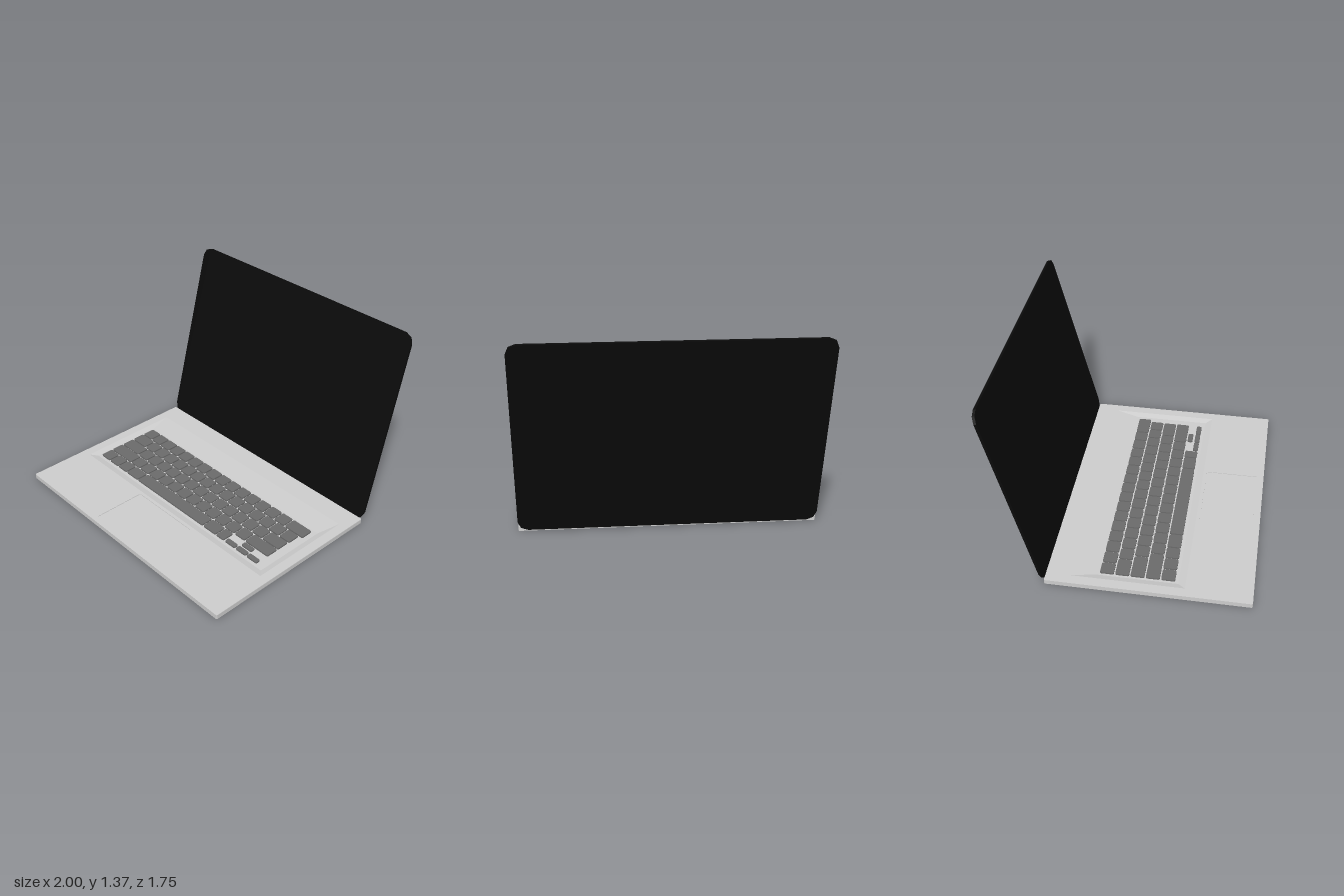
import * as THREE from 'three';

const grey = new THREE.MeshStandardMaterial({ color: 0xcccccc });
const keyGrey = new THREE.MeshStandardMaterial({ color: 0x6a6a6a });
const black = new THREE.MeshStandardMaterial({ color: 0x0a0a0a });

// Rounded rectangle spanning x0..x1, y0..y1
function roundedRect(x0, x1, y0, y1, r, Type = THREE.Shape) {
  const s = new Type();
  s.absarc(x1 - r, y0 + r, r, -Math.PI / 2, 0);
  s.absarc(x1 - r, y1 - r, r, 0, Math.PI / 2);
  s.absarc(x0 + r, y1 - r, r, Math.PI / 2, Math.PI);
  s.absarc(x0 + r, y0 + r, r, Math.PI, Math.PI * 1.5);
  s.closePath();
  return s;
}

// Horizontal slab over x0..x1, z0..z1 from height y0 to y1
function slab(name, material, [x0, x1, z0, z1], y0, y1, r, holes = []) {
  const shape = roundedRect(x0, x1, -z1, -z0, r);
  for (const [a, b, c, d] of holes) shape.holes.push(roundedRect(a, b, -d, -c, 0.002, THREE.Path));
  const geo = new THREE.ExtrudeGeometry(shape, { depth: y1 - y0, bevelEnabled: false, curveSegments: 1 });
  geo.rotateX(-Math.PI / 2).translate(0, y0, 0);
  const mesh = new THREE.Mesh(geo, material);
  mesh.name = name;
  return mesh;
}

// Shallow dish: sloping sides from an outer rectangle down to a flat floor
function dish(outer, inner, yTop, yFloor) {
  const corners = ([x0, x1, z0, z1], y) => [[x0, y, z0], [x0, y, z1], [x1, y, z1], [x1, y, z0]];
  const o = corners(outer, yTop), f = corners(inner, yFloor), pos = [];
  const quad = (a, b, c, d) => pos.push(...a, ...b, ...c, ...a, ...c, ...d);
  for (let i = 0; i < 4; i++) {
    const j = (i + 1) % 4;
    quad(o[i], o[j], f[j], f[i]);
  }
  quad(...f);
  const geo = new THREE.BufferGeometry();
  geo.setAttribute('position', new THREE.Float32BufferAttribute(pos, 3));
  geo.computeVertexNormals();
  const mesh = new THREE.Mesh(geo, grey);
  mesh.name = 'keyboardWell';
  return mesh;
}

function createKeyboard() {
  const keyboard = new THREE.Group();
  keyboard.name = 'keyboard';
  const left = -0.869, back = -0.163, pitch = 0.1035, gap = 0.011;
  const ones = (n) => Array(n).fill(1);
  // Key widths per row, in key pitches
  const rows = [
    [...ones(15), 1.71],
    [1.45, ...ones(15)],
    [1.87, ...ones(13), 1.55],
    [2.27, ...ones(12), 2.16],
    [1, 1, 1, 1.27, 6.98, 1.28, 0.8],
  ];
  const addKey = (name, x0, x1, z0, z1) =>
    keyboard.add(slab(name, keyGrey, [x0, x1, z0, z1], 0.018, 0.031, 0.01));
  rows.forEach((widths, row) => {
    let x = left;
    const z = back + row * 0.104;
    for (const w of widths) {
      addKey(w > 6 ? 'spaceBar' : 'key', x, x + w * pitch - gap, z, z + 0.094);
      x += w * pitch;
    }
  });
  // Half-height arrow keys
  for (const [x, z] of [[0.516, 0.309], [0.621, 0.309], [0.725, 0.309], [0.621, 0.254]]) {
    addKey('arrowKey', x, x + 0.093, z, z + 0.038);
  }
  return keyboard;
}

export function createModel() {
  const laptop = new THREE.Group();
  laptop.name = 'laptop';

  // Base: solid bottom and a top deck with openings
  const footprint = [-1, 1, -0.519, 0.873];
  const well = [-0.93, 0.93, -0.36, 0.42];
  const pad = [-0.28, 0.27, 0.445, 0.825];
  const base = new THREE.Group();
  base.name = 'base';
  base.add(
    slab('baseBottom', grey, footprint, 0, 0.018, 0.008),
    slab('baseDeck', grey, footprint, 0.018, 0.033, 0.008, [well, pad]),
    slab('trackpad', grey, pad, 0.017, 0.029, 0.002),
    dish(well, [-0.885, 0.885, -0.185, 0.37], 0.033, 0.02),
    createKeyboard(),
  );
  laptop.add(base);

  // Lid: thin black panel leaning back from the hinge line
  const lidGeo = new THREE.ExtrudeGeometry(roundedRect(-1, 1, 0, 1.392, 0.066), {
    depth: 0.018, bevelEnabled: false, curveSegments: 1,
  });
  lidGeo.translate(0, 0, -0.009);
  const lid = new THREE.Mesh(lidGeo, black);
  lid.name = 'screenLid';
  lid.position.set(0, 0.015, -0.526);
  lid.rotation.x = -0.248;
  laptop.add(lid);

  return laptop;
}
